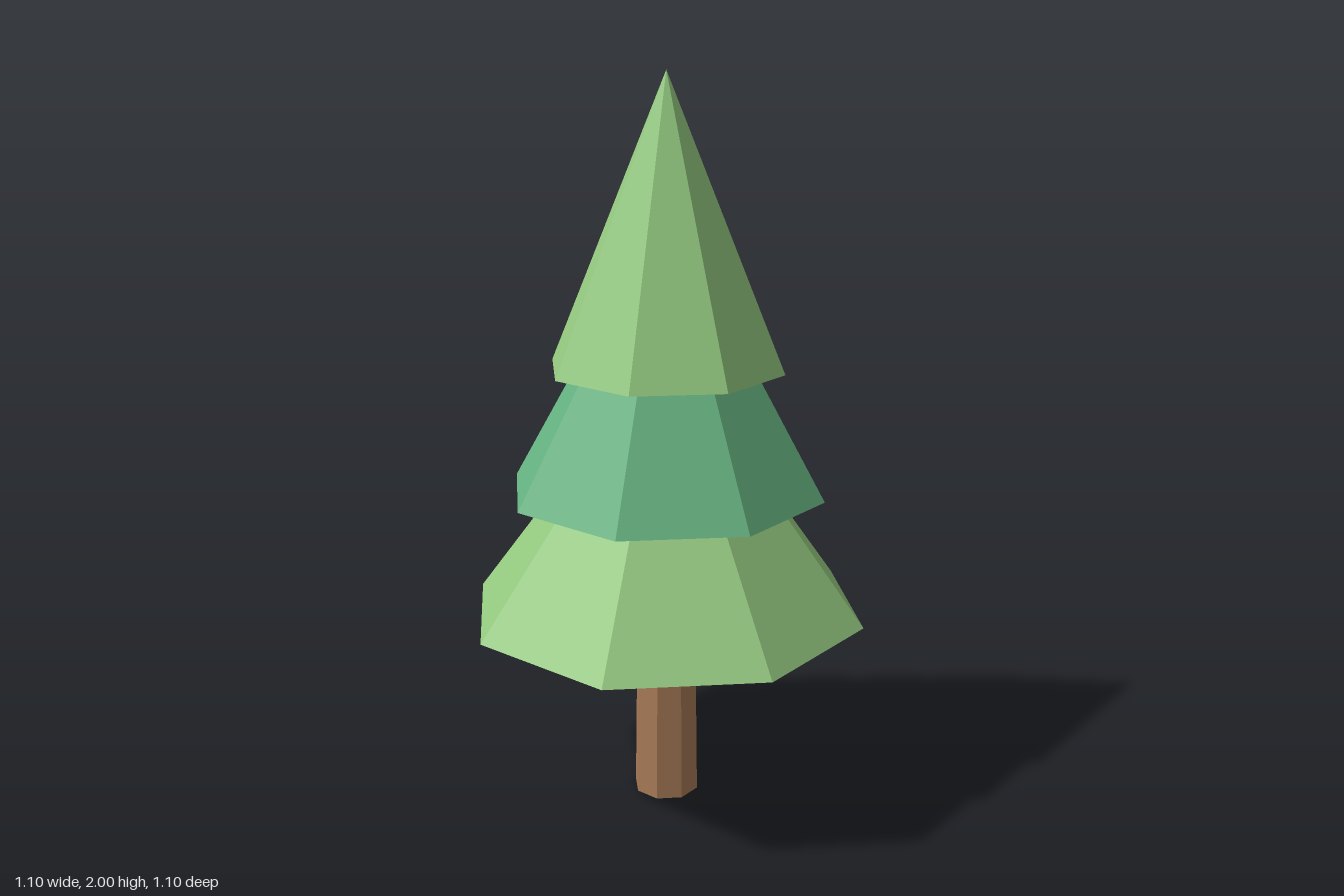
import * as THREE from 'three';

const SIDES = 8;

function material(name, color) {
  const m = new THREE.MeshStandardMaterial({ color, flatShading: true });
  m.name = name;
  return m;
}

export function createModel() {
  const tree = new THREE.Group();
  tree.name = 'pineTree';

  const lightGreen = material('light green', 0x94ca80);
  const blueGreen = material('blue green', 0x66b381);
  const brown = material('bark brown', 0xa97b58);

  // Tapered trunk, ending just inside the lowest tier
  const trunkHeight = 0.6;
  const trunk = new THREE.Mesh(new THREE.CylinderGeometry(0.083, 0.092, trunkHeight, SIDES), brown);
  trunk.name = 'trunk';
  trunk.position.y = trunkHeight / 2;
  tree.add(trunk);

  // Stacked foliage cones: base height, apex height, radius
  const tiers = [
    ['lowerFoliage', 0.555, 1.3, 0.552, lightGreen],
    ['middleFoliage', 0.9, 1.67, 0.436, blueGreen],
    ['upperFoliage', 1.237, 2, 0.322, lightGreen],
  ];
  for (const [name, base, apex, radius, mat] of tiers) {
    const cone = new THREE.Mesh(new THREE.ConeGeometry(radius, apex - base, SIDES), mat);
    cone.name = name;
    cone.position.y = (base + apex) / 2;
    tree.add(cone);
  }

  return tree;
}
